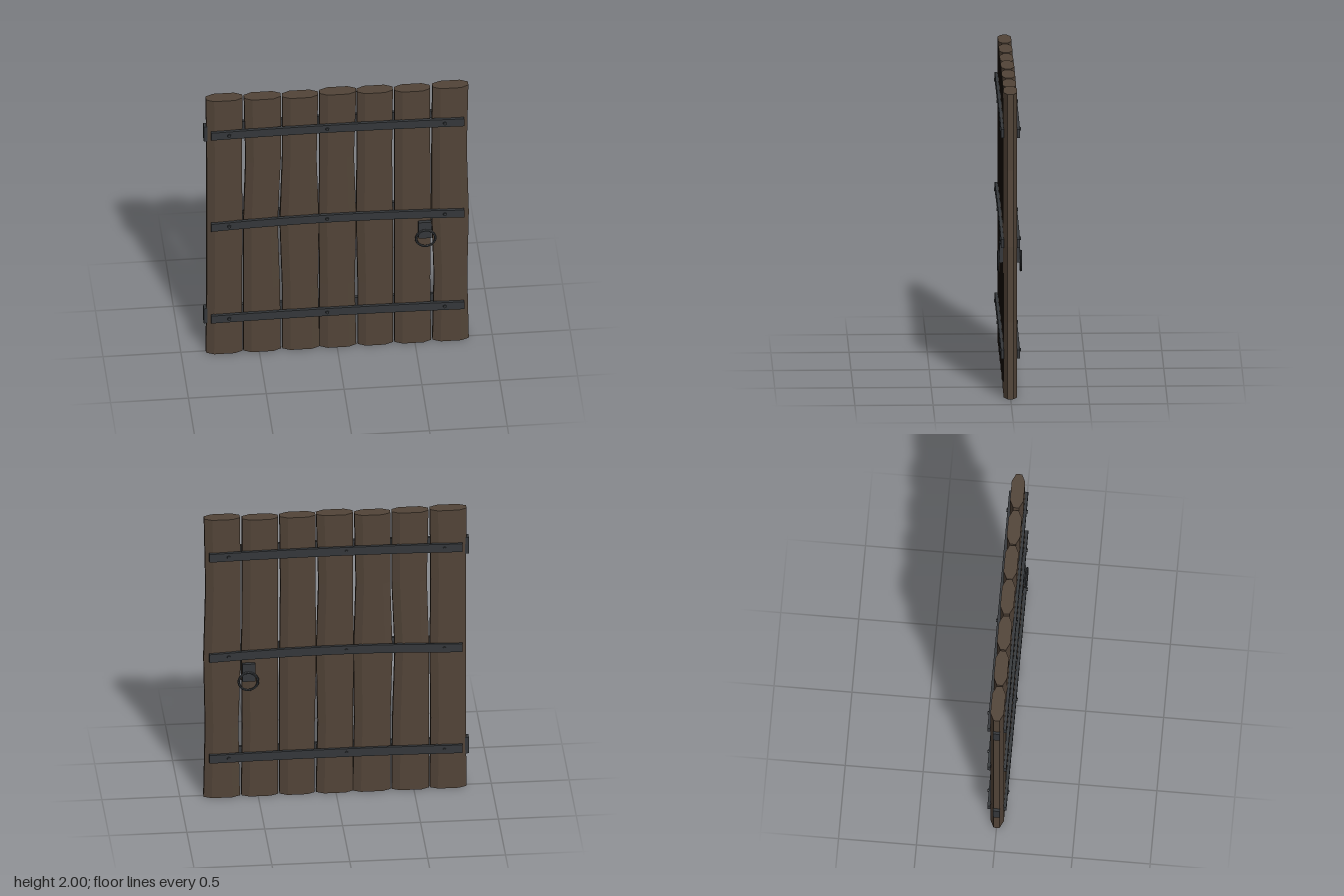
import * as THREE from 'three';

const wood = new THREE.MeshStandardMaterial({ color: 0x524438, flatShading: true });
wood.name = 'dark wood';
const iron = new THREE.MeshStandardMaterial({ color: 0x34373a, flatShading: true });
iron.name = 'dark iron';

// Left and right plank edges at five heights from bottom to top
const PLANKS = [
  { h: 2.0, l: [-0.84, -0.835, -0.835, -0.835, -0.84], r: [-0.605, -0.61, -0.605, -0.61, -0.605] },
  { h: 1.995, l: [-0.6, -0.6, -0.6, -0.585, -0.595], r: [-0.36, -0.365, -0.38, -0.36, -0.36] },
  { h: 1.99, l: [-0.35, -0.35, -0.365, -0.35, -0.35], r: [-0.11, -0.12, -0.115, -0.13, -0.12] },
  { h: 2.0, l: [-0.11, -0.11, -0.115, -0.11, -0.11], r: [0.125, 0.115, 0.125, 0.11, 0.125] },
  { h: 1.995, l: [0.135, 0.135, 0.125, 0.13, 0.13], r: [0.36, 0.36, 0.36, 0.355, 0.36] },
  { h: 1.99, l: [0.37, 0.37, 0.37, 0.37, 0.37], r: [0.605, 0.6, 0.605, 0.6, 0.6] },
  { h: 2.0, l: [0.615, 0.625, 0.61, 0.61, 0.615], r: [0.848, 0.838, 0.848, 0.835, 0.845] },
];

// Eight-sided bar whose corners are moved to a wide bevelled section
function plankGeometry({ h, l, r }) {
  const geo = new THREE.CylinderGeometry(1, 1, 4, 8, 4, false, Math.PI / 8);
  const p = geo.attributes.position;
  for (let i = 0; i < p.count; i++) {
    const x = p.getX(i), z = p.getZ(i);
    const row = Math.round(p.getY(i) + 2);
    const mid = (l[row] + r[row]) / 2, half = (r[row] - l[row]) / 2;
    const centre = Math.hypot(x, z) < 0.1;
    const reach = Math.abs(x) > 0.5 ? half : half - 0.05;
    const depth = Math.abs(z) > 0.5 ? 0.043 : 0.019;
    p.setXYZ(i, centre ? mid : mid + Math.sign(x) * reach, row * h / 4, centre ? 0 : Math.sign(z) * depth);
  }
  geo.computeVertexNormals();
  return geo;
}

// Flat iron bar, slightly arched in the middle
function strapGeometry(arch) {
  const geo = new THREE.BoxGeometry(1.625, 0.058, 0.02, 6, 1, 1);
  const p = geo.attributes.position;
  for (let i = 0; i < p.count; i++) {
    p.setY(i, p.getY(i) + arch * (1 - (p.getX(i) / 0.8125) ** 2));
  }
  geo.computeVertexNormals();
  return geo;
}

function add(parent, name, geo, mat, x = 0, y = 0, z = 0) {
  const mesh = new THREE.Mesh(geo, mat);
  mesh.name = name;
  mesh.position.set(x, y, z);
  parent.add(mesh);
  return mesh;
}

export function createModel() {
  const door = new THREE.Group();
  door.name = 'plankDoor';

  PLANKS.forEach((plank, i) => add(door, `plank${i + 1}`, plankGeometry(plank), wood));

  const rivetGeo = new THREE.CylinderGeometry(0.011, 0.013, 0.014, 6).rotateX(Math.PI / 2);
  const straps = [[0.287, 0.008], [1.013, 0.022], [1.735, 0.01]];

  // Straps, rivets and handle on both faces
  for (const side of [1, -1]) {
    const face = new THREE.Group();
    face.name = side > 0 ? 'frontIronwork' : 'backIronwork';
    door.add(face);

    for (const [y, arch] of straps) {
      add(face, 'strap', strapGeometry(arch), iron, 0.002, y, side * 0.051);
      for (const x of [-0.695, -0.065, 0.69]) {
        const rise = arch * (1 - (x / 0.8125) ** 2);
        const rivet = add(face, 'rivet', rivetGeo, iron, x, y + rise, side * 0.062);
        if (side < 0) rivet.rotation.y = Math.PI;
      }
    }

    // Handle plate with its hanging ring
    add(face, 'handlePlate', new THREE.BoxGeometry(0.083, 0.125, 0.024), iron, 0.562, 0.902, side * 0.054);
    add(face, 'handleRing', new THREE.TorusGeometry(0.062, 0.008, 6, 20), iron, 0.566, 0.845, side * 0.072);
  }

  // Hinge plates on the hanging edge
  for (const y of [0.292, 1.732]) {
    add(door, 'hinge', new THREE.BoxGeometry(0.025, 0.115, 0.044), iron, -0.842, y, 0);
  }
  return door;
}
